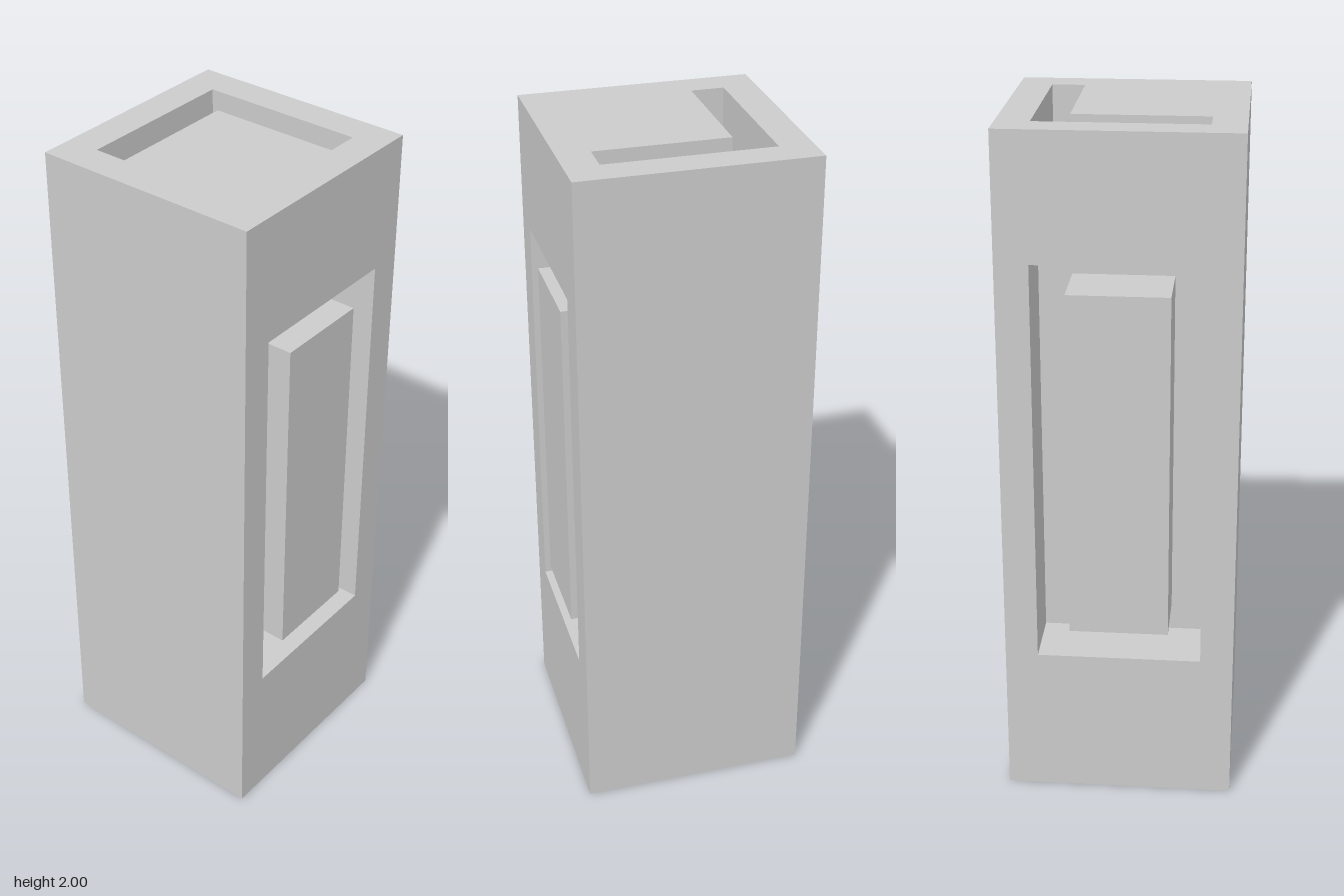
import * as THREE from 'three';
import { mergeGeometries } from 'three/addons/utils/BufferGeometryUtils.js';

const HALF = 0.333, HEIGHT = 2, DEPTH = 0.19;
const material = new THREE.MeshStandardMaterial({ color: 0xcccccc, flatShading: true });

// Counter-clockwise rectangle outline
const rect = (x0, y0, x1, y1) => [[x0, y0], [x1, y0], [x1, y1], [x0, y1]].map(p => new THREE.Vector2(...p));

// Walls going back from an outline, facing the left of its direction
function walls(outline, depth) {
  const pos = [], uv = [], index = [];
  outline.forEach((a, i) => {
    const b = outline[(i + 1) % outline.length];
    pos.push(a.x, a.y, 0, b.x, b.y, 0, b.x, b.y, -depth, a.x, a.y, -depth);
    uv.push(0, 1, 1, 1, 1, 0, 0, 0);
    index.push(...[0, 1, 2, 0, 2, 3].map(k => k + 4 * i));
  });
  const g = new THREE.BufferGeometry();
  g.setAttribute('position', new THREE.Float32BufferAttribute(pos, 3));
  g.setAttribute('uv', new THREE.Float32BufferAttribute(uv, 2));
  g.setIndex(index);
  g.computeVertexNormals();
  return g;
}

// Flat panel facing +z with an optional groove and a flush island inside it
function panel(name, border, groove, island) {
  const face = new THREE.Shape(border);
  const parts = [];
  if (groove) {
    face.holes.push(new THREE.Path(groove));
    const floor = new THREE.Shape(groove);
    if (island) {
      floor.holes.push(new THREE.Path(island));
      parts.push(new THREE.ShapeGeometry(new THREE.Shape(island)), walls([...island].reverse(), DEPTH));
    }
    parts.push(new THREE.ShapeGeometry(floor).translate(0, 0, -DEPTH), walls(groove, DEPTH));
  }
  parts.push(new THREE.ShapeGeometry(face));
  const mesh = new THREE.Mesh(mergeGeometries(parts), material);
  mesh.name = name;
  return mesh;
}

export function createModel() {
  const model = new THREE.Group();
  model.name = 'groovedPillar';
  const sideBorder = rect(-HALF, 0, HALF, HEIGHT);
  const endBorder = rect(-HALF, -HALF, HALF, HALF);

  // Four sides: front and back carry a rectangular ring groove
  ['frontFace', 'leftFace', 'backFace', 'rightFace'].forEach((name, i) => {
    const ring = i % 2 === 0
      ? [rect(-0.238, 0.445, 0.238, 1.637), rect(-0.143, 0.53, 0.143, 1.556)] : [];
    const side = panel(name, sideBorder, ...ring);
    side.rotation.y = i * Math.PI / 2;
    side.position.set(HALF * Math.sin(side.rotation.y), 0, HALF * Math.cos(side.rotation.y));
    model.add(side);
  });

  // Top with an L-shaped groove
  const corner = [[-0.238, 0.143], [0.143, 0.143], [0.143, -0.238], [0.238, -0.238], [0.238, 0.238], [-0.238, 0.238]]
    .map(p => new THREE.Vector2(...p));
  const top = panel('topFace', endBorder, corner);
  top.rotation.x = -Math.PI / 2;
  top.position.y = HEIGHT;

  // Plain base
  const base = panel('bottomFace', endBorder);
  base.rotation.x = Math.PI / 2;
  model.add(top, base);
  return model;
}
